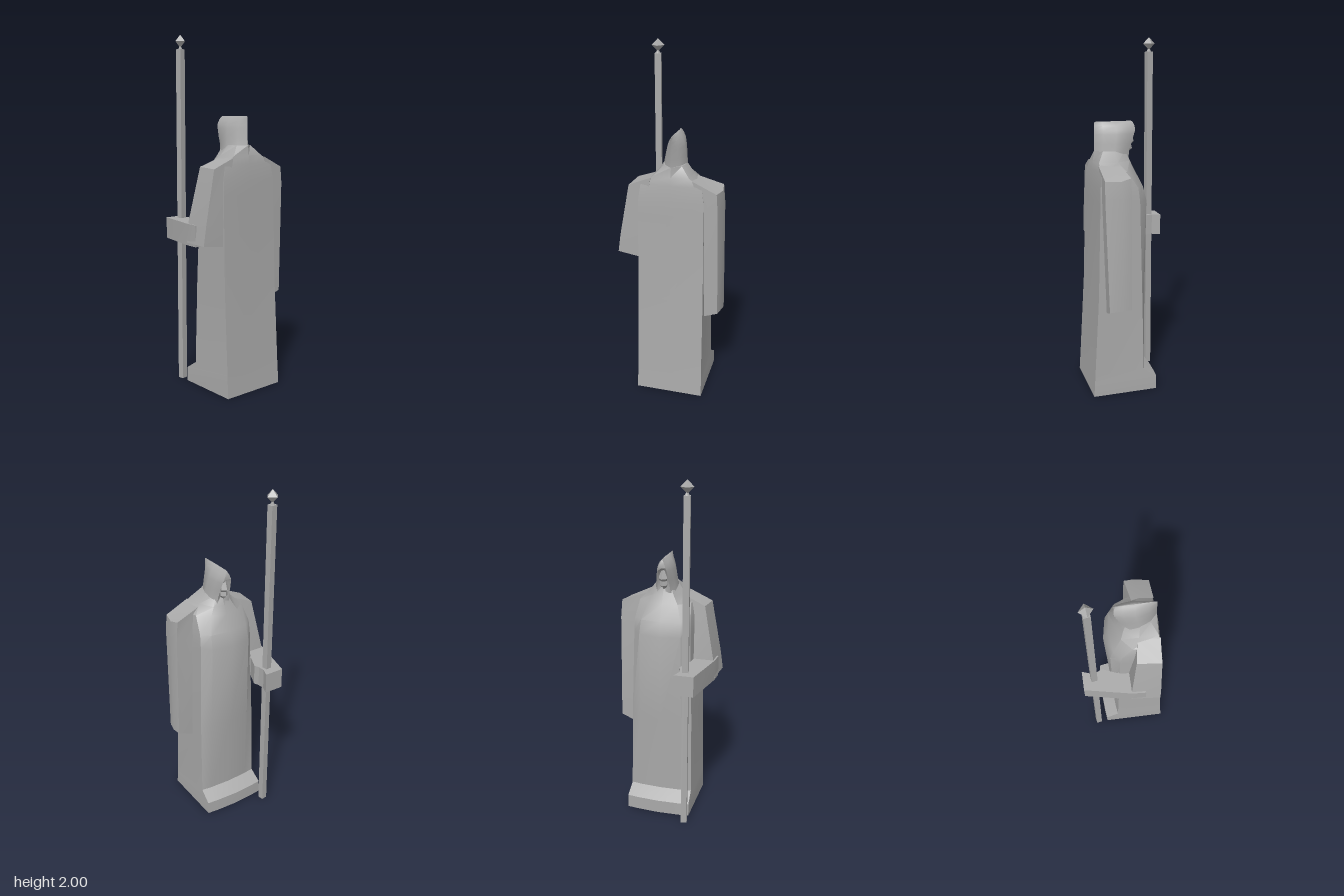
import * as THREE from 'three';
import { toCreasedNormals } from 'three/addons/utils/BufferGeometryUtils.js';

const stone = new THREE.MeshStandardMaterial({ color: 0xaaaaaa });
stone.name = 'grey stone';

// Skin between rings of [x, y, z] points, bottom to top, counter-clockwise from above, with end caps.
function loft(rings, crease = 0.6) {
  const n = rings[0].length;
  const pos = [];
  const tri = (a, b, c) => pos.push(...a, ...b, ...c);
  for (let r = 0; r < rings.length - 1; r++) {
    for (let i = 0; i < n; i++) {
      const j = (i + 1) % n;
      const [a, b, c, d] = [rings[r][i], rings[r][j], rings[r + 1][j], rings[r + 1][i]];
      tri(a, b, c);
      tri(a, c, d);
    }
  }
  const cap = (ring, up) => {
    const mid = [0, 1, 2].map((k) => ring.reduce((s, p) => s + p[k], 0) / n);
    ring.forEach((p, i) => {
      const q = ring[(i + 1) % n];
      up ? tri(mid, p, q) : tri(mid, q, p);
    });
  };
  cap(rings[0], false);
  cap(rings[rings.length - 1], true);
  const g = new THREE.BufferGeometry();
  g.setAttribute('position', new THREE.Float32BufferAttribute(pos, 3));
  return toCreasedNormals(g, crease);
}

// Eight-sided robe section: rear corners, sides, chest corners and centre lines.
function robeRing([y, rearW, rearZ, rearMid, sideW, sideZ, chestW, chestZ, chestMid]) {
  const cx = 0.013;
  return [
    [cx - rearW, y, rearZ], [cx, y, rearMid], [cx + rearW, y, rearZ],
    [cx + sideW, y, sideZ], [cx + chestW, y, chestZ], [cx, y, chestMid],
    [cx - chestW, y, chestZ], [cx - sideW, y, sideZ],
  ];
}

// Hood section: pointed at the rear, widest in the middle, narrow at the face.
function hoodRing([y, w, rearZ, frontW, frontZ, recess]) {
  const cx = 0.011;
  const at = (t) => frontZ + (rearZ - frontZ) * t;
  return [
    [cx, y, rearZ], [cx + w * 0.62, y, at(0.8)], [cx + w, y, at(0.48)], [cx + w * 0.85, y, at(0.2)],
    [cx + frontW, y, frontZ], [cx, y, frontZ + recess], [cx - frontW, y, frontZ],
    [cx - w * 0.85, y, at(0.2)], [cx - w, y, at(0.48)], [cx - w * 0.62, y, at(0.8)],
  ];
}

export function createModel() {
  const model = new THREE.Group();
  model.name = 'robedFigure';
  const add = (name, geometry) => {
    const mesh = new THREE.Mesh(geometry, stone);
    mesh.name = name;
    model.add(mesh);
    return mesh;
  };

  // Robe with a stepped hem, rising to the shoulders and neck
  add('robe', loft([
    [0, 0.195, 0.248, 0.248, 0.19, -0.125, 0.125, -0.132, -0.138],
    [0.08, 0.194, 0.243, 0.243, 0.19, -0.125, 0.125, -0.132, -0.138],
    [0.13, 0.193, 0.24, 0.24, 0.186, -0.05, 0.125, -0.058, -0.064],
    [0.6, 0.19, 0.214, 0.216, 0.18, -0.04, 0.125, -0.07, -0.08],
    [1.12, 0.185, 0.2, 0.206, 0.165, -0.03, 0.12, -0.08, -0.104],
    [1.2, 0.183, 0.198, 0.206, 0.162, -0.02, 0.115, -0.06, -0.075],
    [1.29, 0.17, 0.19, 0.2, 0.15, 0.04, 0.085, -0.015, -0.036],
    [1.335, 0.1, 0.185, 0.195, 0.105, 0.08, 0.06, 0.0, -0.015],
    [1.39, 0.05, 0.15, 0.188, 0.064, 0.09, 0.035, 0.02, 0.005],
  ].map(robeRing)));

  // Hood with a sharp ridge and a hollow for the face
  add('hood', loft([
    [1.35, 0.072, 0.192, 0.04, 0.0, 0],
    [1.39, 0.064, 0.188, 0.035, -0.005, 0.015],
    [1.43, 0.058, 0.187, 0.032, -0.02, 0.03],
    [1.48, 0.049, 0.186, 0.027, -0.036, 0.03],
    [1.5, 0.042, 0.186, 0.022, -0.044, 0],
    [1.525, 0.028, 0.185, 0.012, -0.042, 0],
    [1.543, 0.009, 0.185, 0.003, -0.035, 0],
    [1.549, 0.0005, 0.18, 0.0005, -0.025, 0],
  ].map(hoodRing), 0.75));

  // Angular face under the brim
  const faceRing = (y, w, z) => [[0.011 - w, y, 0.04], [0.011 + w, y, 0.04], [0.011 + w, y, z + 0.02], [0.011, y, z], [0.011 - w, y, z + 0.02]];
  add('face', loft([
    faceRing(1.37, 0.012, 0.0), faceRing(1.395, 0.02, -0.032), faceRing(1.42, 0.022, -0.026),
    faceRing(1.435, 0.023, -0.042), faceRing(1.48, 0.024, -0.024),
  ], 0.2));

  // Hanging arm in a long sleeve
  add('leftArm', loft([
    [[0.2, 0.5, 0.17], [0.28, 0.53, 0.172], [0.3, 0.54, 0.1], [0.292, 0.54, 0.05], [0.2, 0.5, 0.05]],
    [[0.19, 1.14, 0.19], [0.272, 1.17, 0.192], [0.291, 1.17, 0.1], [0.284, 1.17, 0.048], [0.19, 1.14, 0.042]],
    [[0.13, 1.325, 0.192], [0.265, 1.262, 0.19], [0.283, 1.26, 0.11], [0.275, 1.275, 0.05], [0.13, 1.322, 0.07]],
  ]));

  // Upper sleeve flaring towards the bent elbow
  add('rightSleeve', loft([
    [[-0.3, 0.86, 0.185], [-0.165, 0.845, 0.195], [-0.15, 0.845, 0.02], [-0.285, 0.86, 0.018]],
    [[-0.284, 0.97, 0.186], [-0.165, 0.97, 0.197], [-0.15, 0.97, 0.02], [-0.275, 0.97, 0.02]],
    [[-0.228, 1.27, 0.186], [-0.1, 1.325, 0.194], [-0.1, 1.32, 0.07], [-0.215, 1.275, 0.05]],
  ]));

  // Raised forearm, ending in a squared fist round the staff
  const plan = [[-0.29, 0.1], [-0.15, 0.1], [-0.15, -0.05], [-0.116, -0.132], [-0.128, -0.16], [-0.132, -0.2], [-0.115, -0.248], [-0.226, -0.248], [-0.284, 0.02]];
  add('rightForearm', loft([
    plan.map(([x, z]) => [x, 0.845, z]),
    plan.map(([x, z]) => [x, 0.965, z]),
  ], 0.2));

  // Square staff and its pointed finial
  const shaft = add('staffShaft', new THREE.BoxGeometry(0.035, 1.92, 0.035));
  shaft.position.set(-0.165, 0.96, -0.184);
  shaft.rotation.y = 0.15;
  const neck = add('staffNeck', new THREE.ConeGeometry(0.016, 0.03, 4));
  neck.position.set(-0.165, 1.932, -0.184);
  const tip = add('staffTip', new THREE.OctahedronGeometry(0.036));
  tip.position.set(-0.165, 1.964, -0.184);
  tip.rotation.y = 0.12;

  return model;
}
